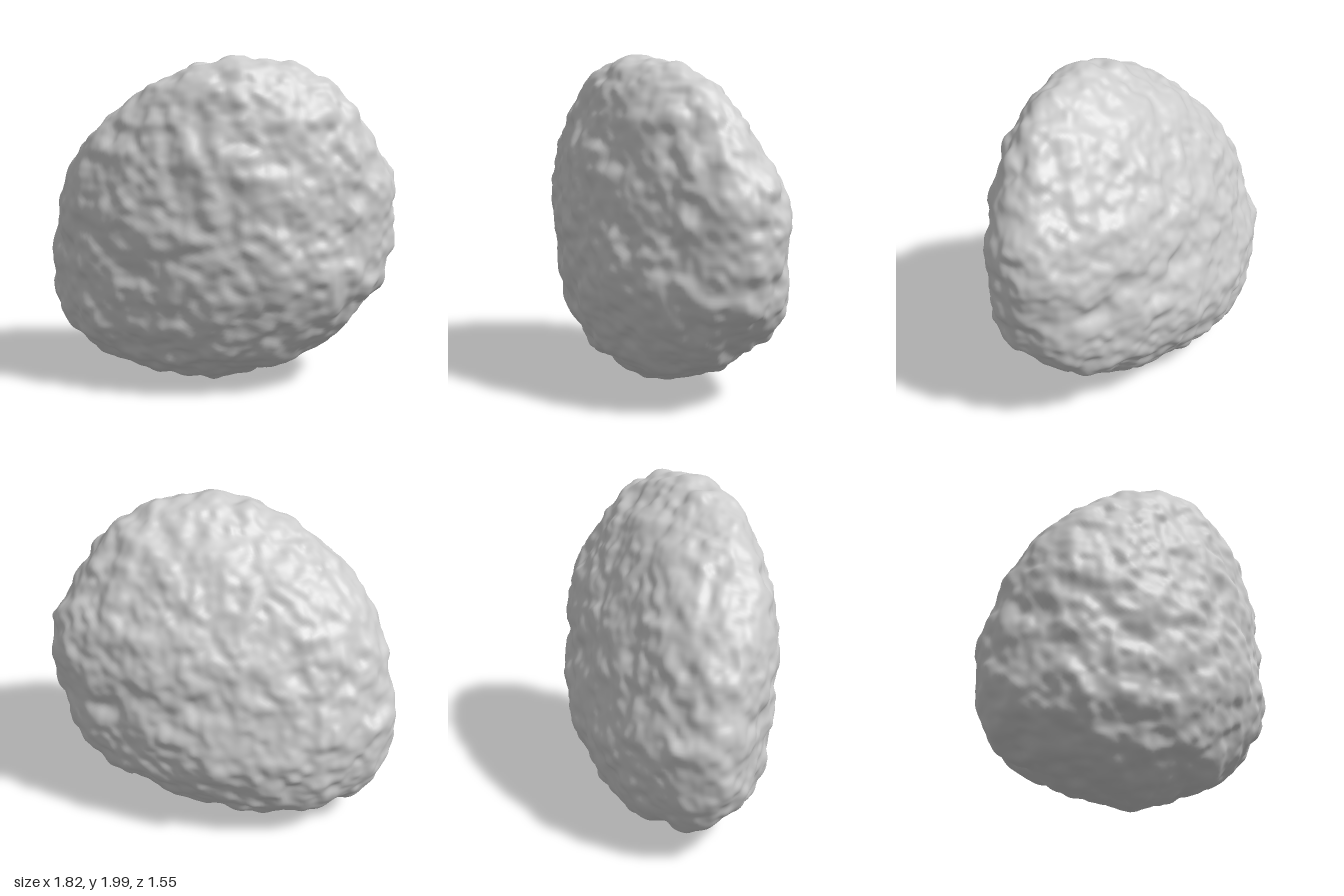
import * as THREE from 'three';
import { mergeVertices } from 'three/addons/utils/BufferGeometryUtils.js';

// Cross-section limits by height: y, xMin, xMax, zMin, zMax
const SECTIONS = [
  [0.05, -0.36, 0.18, -0.15, 0.27],
  [0.10, -0.53, 0.28, -0.27, 0.41],
  [0.20, -0.73, 0.50, -0.42, 0.55],
  [0.40, -0.87, 0.69, -0.63, 0.69],
  [0.60, -0.91, 0.83, -0.73, 0.72],
  [0.90, -0.86, 0.85, -0.73, 0.74],
  [1.20, -0.75, 0.84, -0.72, 0.74],
  [1.50, -0.56, 0.79, -0.58, 0.68],
  [1.70, -0.35, 0.72, -0.46, 0.58],
  [1.85, -0.12, 0.61, -0.30, 0.45],
  [1.95, 0.10, 0.46, -0.11, 0.29],
];
const HALF_HEIGHT = 0.985; // before the surface bumps are added

// Seeded lattice value in -1..1
function lattice(x, y, z) {
  let h = Math.imul(x, 374761393) ^ Math.imul(y, 668265263) ^ Math.imul(z, 1274126177);
  h = Math.imul(h ^ (h >>> 13), 1103515245);
  h = Math.imul(h ^ (h >>> 15), 739982445);
  return ((h ^ (h >>> 16)) >>> 0) / 2147483648 - 1;
}

// Smooth value noise
function noise(x, y, z) {
  const ix = Math.floor(x), iy = Math.floor(y), iz = Math.floor(z);
  const ease = (t) => t * t * t * (t * (t * 6 - 15) + 10);
  const u = ease(x - ix), v = ease(y - iy), w = ease(z - iz);
  let sum = 0;
  for (let i = 0; i < 8; i++) {
    const a = i & 1, b = (i >> 1) & 1, c = i >> 2;
    sum += lattice(ix + a, iy + b, iz + c) * (a ? u : 1 - u) * (b ? v : 1 - v) * (c ? w : 1 - w);
  }
  return sum;
}

// Lumps, pits and fine grain
function roughness(p) {
  let sum = 0;
  for (const [freq, amp] of [[4.7, 0.014], [8.8, 0.022], [16.9, 0.01]]) {
    sum += amp * noise(p.x * freq + 31.7, p.y * freq + 17.3, p.z * freq + 53.1);
  }
  return sum;
}

function createRockGeometry() {
  // Centre and width of each section, with widths relative to a sphere
  const values = SECTIONS.flatMap(([y, x0, x1, z0, z1]) => {
    const h = Math.sqrt(1 - ((y - 1) / HALF_HEIGHT) ** 2);
    return [(x0 + x1) / 2, (z0 + z1) / 2, (x1 - x0) / 2 / h, (z1 - z0) / 2 / h];
  });
  const profile = new THREE.CubicInterpolant(SECTIONS.map((s) => s[0]), values, 4, new Float32Array(4));

  const sphere = new THREE.IcosahedronGeometry(1, 60);
  sphere.deleteAttribute('normal');
  sphere.deleteAttribute('uv');
  const geometry = mergeVertices(sphere, 1e-5);
  const pos = geometry.attributes.position;
  const p = new THREE.Vector3(), n = new THREE.Vector3();

  // Sphere to slanted slab: fuller front face, and a long, raised back left end
  for (let i = 0; i < pos.count; i++) {
    p.fromBufferAttribute(pos, i);
    const y = 1 + p.y * HALF_HEIGHT;
    const [cx, cz, a, b] = profile.evaluate(y);
    const face = 0.5 * p.x + 0.87 * p.z;
    const end = Math.max(0, 0.84 * p.x - 0.48 * p.z + 0.25 * p.y);
    const bulge = 1 + 0.11 * face ** 3 + 0.02 * face ** 4 + 0.09 * end ** 6;
    const skew = -0.45 - 0.08 * y;
    const across = skew * p.x + Math.sqrt(1 - skew * skew) * p.z;
    pos.setXYZ(i, cx + a * p.x * bulge, y, cz + b * across * bulge);
  }
  geometry.computeVertexNormals();

  // Weathered surface
  const normals = geometry.attributes.normal;
  for (let i = 0; i < pos.count; i++) {
    p.fromBufferAttribute(pos, i);
    n.fromBufferAttribute(normals, i);
    p.addScaledVector(n, roughness(p));
    pos.setXYZ(i, p.x, p.y, p.z);
  }

  // Stand on the ground
  geometry.computeBoundingBox();
  geometry.translate(0, -geometry.boundingBox.min.y, 0);
  geometry.computeVertexNormals();
  return geometry;
}

export function createModel() {
  const group = new THREE.Group();
  group.name = 'boulder';
  const rock = new THREE.Mesh(createRockGeometry(), new THREE.MeshStandardMaterial({ color: 0xcccccc }));
  rock.name = 'rock';
  group.add(rock);
  return group;
}
